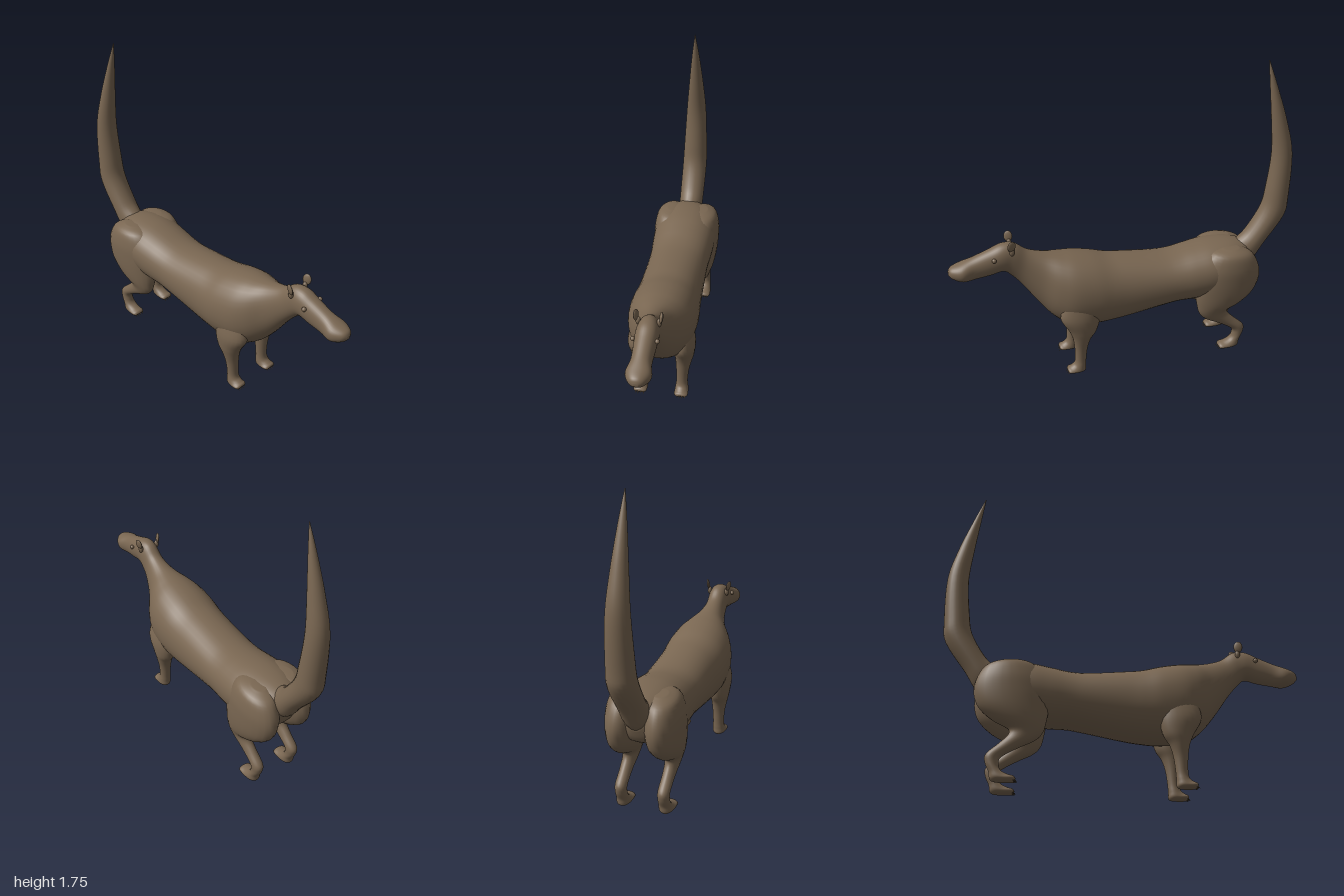
import * as THREE from 'three';

const fur = new THREE.MeshStandardMaterial({ color: 0x7a6752 });
fur.name = 'brown fur';

// Smooth skin through oval rings: [z1, y1, z2, y2, half width, x centre].
// (z1, y1) and (z2, y2) are opposite outline points in the side plane.
function loft(rings, sides = 28, steps = 5, power = 1) {
  const n = rings.length, pos = [], idx = [];
  const at = (i) => rings[Math.min(n - 1, Math.max(0, i))];
  const cr = (a, b, c, d, t) => 0.5 * (2 * b + (c - a) * t + (2 * a - 5 * b + 4 * c - d) * t * t
    + (3 * b - a - 3 * c + d) * t * t * t);
  const rows = (n - 1) * steps + 1;
  const centres = [];
  for (let r = 0; r < rows; r++) {
    const i = Math.min(n - 2, Math.floor(r / steps)), t = r / steps - i;
    const [z1, y1, z2, y2, w, x = 0] = [0, 1, 2, 3, 4, 5].map((k) =>
      cr(at(i - 1)[k] || 0, at(i)[k] || 0, at(i + 1)[k] || 0, at(i + 2)[k] || 0, t));
    const cz = (z1 + z2) / 2, cy = (y1 + y2) / 2;
    centres.push([x, cy, cz]);
    for (let j = 0; j < sides; j++) {
      const a = (j / sides) * Math.PI * 2;
      const c = Math.sign(Math.cos(a)) * Math.abs(Math.cos(a)) ** power;
      const s = Math.sign(Math.sin(a)) * Math.abs(Math.sin(a)) ** power;
      pos.push(x + w * s, cy + (y1 - cy) * c, cz + (z1 - cz) * c);
    }
  }
  for (let r = 0; r < rows - 1; r++) {
    for (let j = 0; j < sides; j++) {
      const k = (j + 1) % sides;
      const a = r * sides + j, b = r * sides + k, c = a + sides, d = b + sides;
      idx.push(a, b, c, b, d, c);
    }
  }
  // Close both ends
  const first = pos.length / 3, last = (rows - 1) * sides;
  pos.push(...centres[0], ...centres[rows - 1]);
  for (let j = 0; j < sides; j++) {
    const k = (j + 1) % sides;
    idx.push(first, k, j, first + 1, last + j, last + k);
  }
  const g = new THREE.BufferGeometry();
  g.setAttribute('position', new THREE.Float32BufferAttribute(pos, 3));
  g.setIndex(idx);
  g.computeVertexNormals();
  return g;
}

export function createModel() {
  const model = new THREE.Group();
  model.name = 'longTailedAnimal';
  const add = (name, geometry, parent = model) => {
    const m = new THREE.Mesh(geometry, fur);
    m.name = name;
    parent.add(m);
    return m;
  };

  // Head, neck and trunk, nose to rump
  add('body', loft([
    [1.0, 0.715, 1.0, 0.695, 0.012],
    [0.985, 0.738, 0.975, 0.67, 0.042],
    [0.93, 0.758, 0.92, 0.65, 0.068],
    [0.86, 0.783, 0.85, 0.654, 0.055],
    [0.77, 0.818, 0.77, 0.665, 0.058],
    [0.70, 0.845, 0.70, 0.679, 0.062],
    [0.63, 0.84, 0.66, 0.65, 0.06],
    [0.56, 0.79, 0.60, 0.58, 0.065],
    [0.47, 0.76, 0.51, 0.45, 0.1],
    [0.38, 0.745, 0.43, 0.355, 0.155],
    [0.30, 0.735, 0.34, 0.297, 0.188],
    [0.2, 0.715, 0.2, 0.28, 0.197],
    [0.1, 0.688, 0.1, 0.285, 0.191],
    [0, 0.675, 0, 0.298, 0.185],
    [-0.2, 0.654, -0.2, 0.335, 0.18],
    [-0.3, 0.656, -0.3, 0.35, 0.18],
    [-0.4, 0.674, -0.4, 0.352, 0.187],
    [-0.5, 0.69, -0.5, 0.365, 0.192],
    [-0.6, 0.692, -0.6, 0.385, 0.186],
    [-0.68, 0.682, -0.68, 0.41, 0.155],
    [-0.74, 0.66, -0.74, 0.45, 0.105],
    [-0.77, 0.61, -0.77, 0.52, 0.04],
  ], 36, 5, 0.93));

  // Upright tapering tail
  add('tail', loft([
    [-0.62, 0.63, -0.74, 0.5, 0.06],
    [-0.70, 0.682, -0.80, 0.55, 0.072],
    [-0.76, 0.74, -0.86, 0.645, 0.075],
    [-0.835, 0.87, -0.975, 0.81, 0.076],
    [-0.86, 1.0, -0.995, 0.93, 0.072],
    [-0.878, 1.2, -0.998, 1.2, 0.061],
    [-0.86, 1.4, -0.95, 1.4, 0.044],
    [-0.835, 1.6, -0.88, 1.6, 0.023],
    [-0.815, 1.755, -0.82, 1.755, 0.002],
  ], 24));

  for (const [side, s] of [['left', 1], ['right', -1]]) {
    // Front leg: shoulder, shin, foot
    const front = [
      [0.18, 0.5, 0.38, 0.5, 0.04, 0.13],
      [0.18, 0.38, 0.41, 0.39, 0.062, 0.132],
      [0.2, 0.29, 0.365, 0.3, 0.058, 0.13],
      [0.235, 0.235, 0.342, 0.24, 0.048, 0.127],
      [0.255, 0.17, 0.332, 0.17, 0.038, 0.122],
      [0.265, 0.09, 0.33, 0.095, 0.033, 0.12],
      [0.268, 0.045, 0.338, 0.06, 0.036, 0.12],
      [0.275, 0.008, 0.36, 0.044, 0.04, 0.121],
      [0.345, 0.005, 0.375, 0.036, 0.04, 0.122],
      [0.372, 0.01, 0.38, 0.025, 0.028, 0.122],
    ];
    // Hind leg: haunch, knee, hock, foot
    const hind = [
      [-0.67, 0.675, -0.58, 0.68, 0.035, 0.09],
      [-0.745, 0.64, -0.49, 0.66, 0.08, 0.1],
      [-0.788, 0.57, -0.43, 0.58, 0.097, 0.105],
      [-0.8, 0.49, -0.405, 0.49, 0.097, 0.108],
      [-0.772, 0.405, -0.405, 0.4, 0.088, 0.112],
      [-0.70, 0.338, -0.415, 0.33, 0.07, 0.118],
      [-0.615, 0.292, -0.43, 0.275, 0.05, 0.12],
      [-0.608, 0.258, -0.468, 0.232, 0.04, 0.12],
      [-0.655, 0.207, -0.55, 0.19, 0.034, 0.12],
      [-0.715, 0.15, -0.638, 0.135, 0.033, 0.12],
      [-0.717, 0.105, -0.645, 0.09, 0.032, 0.12],
      [-0.695, 0.055, -0.63, 0.062, 0.035, 0.12],
      [-0.68, 0.01, -0.595, 0.046, 0.04, 0.121],
      [-0.595, 0.005, -0.568, 0.038, 0.04, 0.122],
      [-0.567, 0.01, -0.558, 0.025, 0.028, 0.122],
    ];
    for (const [name, rings, toe] of [['FrontLeg', front, 0.38], ['HindLeg', hind, -0.557]]) {
      add(side + name, loft(rings.map((r) => [...r.slice(0, 5), r[5] * s]), 24));
      // Claws
      for (let i = 0; i < 4; i++) {
        const claw = add(side + name + 'Claw', new THREE.ConeGeometry(0.005, 0.022, 8));
        claw.rotation.x = Math.PI / 2 + 0.25;
        claw.position.set(s * (0.122 + (i - 1.5) * 0.016), 0.012, toe - Math.abs(i - 1.5) * 0.004);
      }
    }

    // Ear and eye
    const ear = add(side + 'Ear', new THREE.SphereGeometry(1, 16, 12));
    ear.scale.set(0.009, 0.032, 0.025);
    ear.position.set(s * 0.066, 0.853, 0.652);
    ear.rotation.set(0, s * 0.3, -s * 0.15);
    const earBase = add(side + 'EarBase', new THREE.SphereGeometry(1, 12, 8));
    earBase.scale.set(0.014, 0.025, 0.015);
    earBase.position.set(s * 0.055, 0.815, 0.65);
    const eye = add(side + 'Eye', new THREE.SphereGeometry(0.013, 14, 10));
    eye.position.set(s * 0.063, 0.778, 0.75);
  }
  return model;
}
